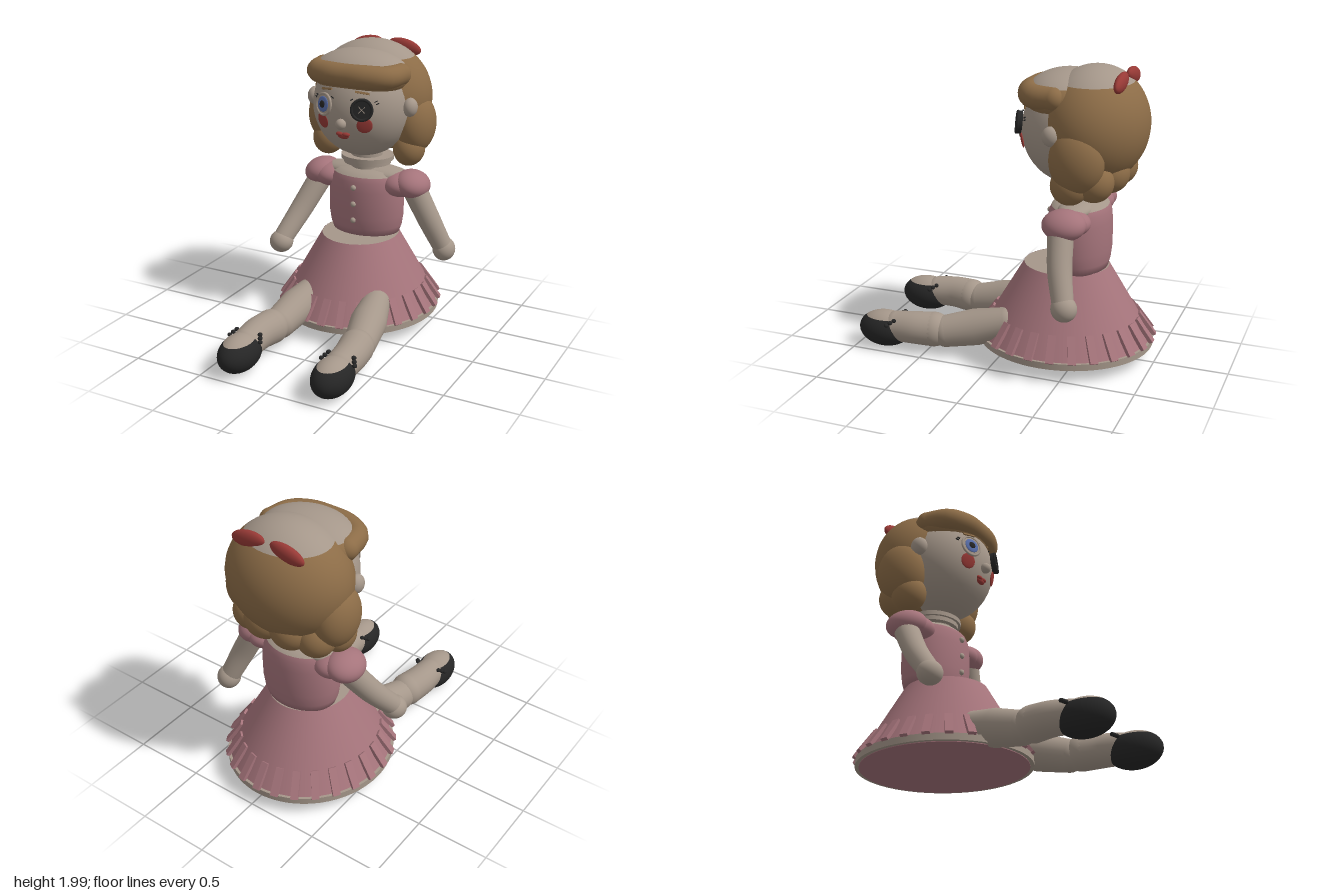
import * as THREE from 'three';

const mat = (name, color) => new THREE.MeshStandardMaterial({ name, color });

export function createModel() {
  const skin = mat('skin', 0xa5978a), pink = mat('dress pink', 0xa5747b), hair = mat('hair brown', 0x8c6c47);
  const red = mat('red', 0x983a36), black = mat('black', 0x262626), blue = mat('iris blue', 0x5a70ac);
  skin.side = pink.side = THREE.DoubleSide;

  const doll = new THREE.Group();
  doll.name = 'doll';
  const body = new THREE.Group(); // torso, skirt and head share a slightly shifted axis
  body.name = 'body';
  body.position.x = -0.025;
  doll.add(body);

  const add = (parent, name, geo, material, pos = [0, 0, 0], rot = [0, 0, 0], scale = [1, 1, 1]) => {
    const m = new THREE.Mesh(geo, material);
    m.name = name;
    m.position.set(...pos);
    m.rotation.set(...rot);
    m.scale.set(...scale);
    parent.add(m);
    return m;
  };
  const ball = new THREE.SphereGeometry(1, 36, 24);
  const ellipsoid = (parent, name, material, pos, r, rot) => add(parent, name, ball, material, pos, rot, r);

  // Ellipsoid cut level at height y: one material above, another below
  const splitEllipsoid = (parent, name, top, bottom, pos, r, y) => {
    const t = Math.acos((y - pos[1]) / r[1]);
    add(parent, name + 'Top', new THREE.SphereGeometry(1, 40, 12, 0, Math.PI * 2, 0, t), top, pos, undefined, r);
    add(parent, name + 'Base', new THREE.SphereGeometry(1, 40, 24, 0, Math.PI * 2, t, Math.PI - t), bottom, pos, undefined, r);
  };

  // Round limb whose radius changes along a smooth path, with rounded ends
  const limb = (parent, name, material, pts, radii) => {
    const curve = new THREE.CatmullRomCurve3(pts.map(p => new THREE.Vector3(...p)));
    const n = 24, sides = 24, geo = new THREE.TubeGeometry(curve, n, 1, sides);
    const p = geo.attributes.position, v = new THREE.Vector3();
    for (let i = 0; i < p.count; i++) {
      const u = Math.floor(i / (sides + 1)) / n, c = curve.getPointAt(u);
      const k = Math.min(u * (radii.length - 1), radii.length - 1.0001), j = Math.floor(k);
      const r = THREE.MathUtils.lerp(radii[j], radii[j + 1], k - j);
      v.fromBufferAttribute(p, i).sub(c).multiplyScalar(r).add(c);
      p.setXYZ(i, v.x, v.y, v.z);
    }
    add(parent, name, geo, material);
    [0, pts.length - 1].forEach(i => {
      const r = radii[i ? radii.length - 1 : 0];
      ellipsoid(parent, name + 'End', material, pts[i], [r, r, r]);
    });
  };

  // Skirt with a level waist, rimmed base and a ring of pleats
  const skirt = new THREE.Group();
  skirt.name = 'skirt';
  skirt.position.z = -0.37;
  skirt.scale.z = 1.07;
  body.add(skirt);
  add(skirt, 'skirtCone', new THREE.CylinderGeometry(0.27, 0.545, 0.5, 64, 1, true), pink, [0, 0.38, 0]);
  add(skirt, 'waistDisc', new THREE.CircleGeometry(0.27, 48), skin, [0, 0.629, 0], [-Math.PI / 2, 0, 0]);
  add(skirt, 'hemRim', new THREE.CylinderGeometry(0.56, 0.56, 0.045, 64), skin, [0, 0.112, 0]);
  add(skirt, 'skirtBase', new THREE.CylinderGeometry(0.535, 0.535, 0.006, 64), pink, [0, 0.088, 0]);
  const pleat = new THREE.BoxGeometry(0.05, 0.185, 0.025);
  for (let i = 0; i < 26; i++) {
    const holder = new THREE.Group();
    holder.name = 'pleat';
    holder.rotation.y = i / 26 * Math.PI * 2;
    add(holder, 'pleatStrip', pleat, pink, [0, 0.21, 0.515], [-0.6, 0, 0]);
    skirt.add(holder);
  }

  // Bodice, yoke and neck
  const lathe = pts => new THREE.LatheGeometry(pts.map(p => new THREE.Vector2(...p)), 48);
  const bodice = [[0, 0.62], [0.245, 0.622], [0.265, 0.68], [0.277, 0.76], [0.278, 0.86], [0.275, 0.95], [0.265, 1.02], [0.245, 1.055]];
  add(body, 'bodice', lathe(bodice), pink, [0, 0, -0.46], undefined, [1, 1, 0.76]);
  add(body, 'yoke', lathe([[0.245, 1.055], [0.2, 1.085], [0.1, 1.1], [0, 1.1]]), skin, [0, 0, -0.46], undefined, [1, 1, 0.76]);
  ellipsoid(body, 'shoulders', skin, [0, 1.055, -0.47], [0.34, 0.06, 0.13]);
  add(body, 'neck', new THREE.CylinderGeometry(0.11, 0.11, 0.22, 32), skin, [0, 1.15, -0.46]);
  add(body, 'collar', new THREE.CylinderGeometry(0.19, 0.19, 0.03, 40), skin, [0, 1.165, -0.47], undefined, [1, 1, 0.9]);
  add(body, 'collarBand', new THREE.CylinderGeometry(0.17, 0.17, 0.03, 40), skin, [0, 1.135, -0.47], undefined, [1, 1, 0.9]);
  [0.985, 0.865, 0.745].forEach(y => ellipsoid(body, 'button', skin, [0, y, -0.247], [0.02, 0.02, 0.018]));
  for (const s of [-1, 1]) {
    ellipsoid(body, 'puffSleeve', pink, [s * 0.355, 1.01, -0.46], [0.125, 0.095, 0.145], [0, 0, s * -0.25]);
    ellipsoid(body, 'sleeveTop', pink, [s * 0.27, 1.0, -0.46], [0.13, 0.09, 0.15]);
  }

  // Arms, one reaching forward and one slightly back
  limb(doll, 'rightArm', skin, [[-0.39, 0.96, -0.45], [-0.48, 0.73, -0.3], [-0.545, 0.55, -0.15]], [0.085, 0.08, 0.07]);
  ellipsoid(doll, 'rightHand', skin, [-0.55, 0.53, -0.14], [0.085, 0.08, 0.085]);
  limb(doll, 'leftArm', skin, [[0.36, 0.96, -0.45], [0.46, 0.75, -0.48], [0.54, 0.56, -0.53]], [0.085, 0.08, 0.07]);
  ellipsoid(doll, 'leftHand', skin, [0.55, 0.535, -0.54], [0.08, 0.085, 0.085]);

  // Legs stretched forward: thigh, calf, foot, shoe and strap fittings
  [['right', -0.235, -0.275, -0.31], ['left', 0.26, 0.345, 0.38]].forEach(([side, hip, knee, foot]) => {
    const leg = new THREE.Group();
    leg.name = side + 'Leg';
    doll.add(leg);
    limb(leg, 'thigh', skin, [[hip, 0.25, -0.04], [(hip + knee) / 2, 0.2, 0.16], [knee, 0.155, 0.36]], [0.1, 0.125, 0.11]);
    limb(leg, 'calf', skin, [[knee * 0.6 + foot * 0.4, 0.16, 0.45], [foot, 0.16, 0.58], [foot, 0.15, 0.72]], [0.118, 0.112, 0.105]);
    splitEllipsoid(leg, 'shoe', skin, black, [foot, 0.125, 0.81], [0.127, 0.125, 0.19], 0.213);
    for (const s of [-1, 1]) for (let i = 0; i < 3; i++)
      ellipsoid(leg, 'strapBead', black, [foot + s * (0.09 + i * 0.014), 0.225 - i * 0.014, 0.7 + i * 0.022], [0.016, 0.014, 0.016]);
  });

  // Head and ears
  const C = [0, 1.56, -0.41], R = [0.355, 0.365, 0.345];
  ellipsoid(body, 'head', skin, C, R);
  for (const s of [-1, 1]) ellipsoid(body, 'ear', skin, [s * 0.365, 1.58, -0.37], [0.05, 0.065, 0.06]);

  // Anchor on the face surface with +z pointing outward
  const onFace = (name, x, y) => {
    const g = new THREE.Group();
    g.name = name;
    const dx = x / R[0], dy = (y - C[1]) / R[1], dz = Math.sqrt(1 - dx * dx - dy * dy);
    g.position.set(x, y, C[2] + R[2] * dz);
    g.quaternion.setFromUnitVectors(new THREE.Vector3(0, 0, 1), new THREE.Vector3(dx / R[0], dy / R[1], dz / R[2]).normalize());
    body.add(g);
    return g;
  };
  const disc = (g, name, material, r, z, sy = 1) => ellipsoid(g, name, material, [0, 0, z], [r, r * sy, 0.009]);

  const eye = onFace('paintedEye', -0.14, 1.605);
  add(eye, 'eyeRim', new THREE.TorusGeometry(0.072, 0.009, 10, 36), skin, [0, 0, 0.008]);
  disc(eye, 'eyeball', skin, 0.072, 0.008);
  disc(eye, 'iris', blue, 0.053, 0.015);
  disc(eye, 'pupil', black, 0.026, 0.021);
  const patch = onFace('buttonEye', 0.14, 1.6);
  add(patch, 'buttonDisc', new THREE.CylinderGeometry(0.075, 0.075, 0.03, 36), black, [0, 0, 0.015], [Math.PI / 2, 0, 0]);
  add(patch, 'buttonRim', new THREE.TorusGeometry(0.068, 0.01, 10, 36), black, [0, 0, 0.03]);
  for (const s of [-1, 1])
    add(patch, 'thread', new THREE.BoxGeometry(0.06, 0.004, 0.006), skin, [0, 0, 0.032], [0, 0, s * 0.8]);

  for (const s of [-1, 1]) {
    disc(onFace('cheek', s * 0.155, 1.49), 'blush', red, 0.054, 0.004);
    const brow = onFace('brow', s * 0.13, 1.705);
    add(brow, 'browStrip', new THREE.BoxGeometry(0.095, 0.014, 0.009), hair, [0, 0, 0.006], [0, 0, s * -0.06]);
    [[0.07, 1.66], [0.215, 1.65], [0.225, 1.635]].forEach(([x, y]) =>
      add(onFace('eyelash', s * x, y), 'lash', new THREE.BoxGeometry(0.022, 0.006, 0.008), black, [0, 0, 0.008], [0, 0, s * 0.5]));
  }
  ellipsoid(body, 'nose', skin, [0, 1.49, -0.06], [0.037, 0.037, 0.037]);
  const mouth = onFace('mouth', 0, 1.405);
  ellipsoid(mouth, 'lowerLip', red, [0, -0.006, 0], [0.042, 0.022, 0.018]);
  for (const s of [-1, 1]) ellipsoid(mouth, 'upperLip', red, [s * 0.022, 0.01, 0], [0.03, 0.015, 0.018]);

  // Hair: bare crown, rounded back, rolled fringe and hanging locks
  splitEllipsoid(body, 'hairBack', skin, hair, [0, 1.6, -0.55], [0.425, 0.385, 0.35], 1.88);
  splitEllipsoid(body, 'crown', skin, hair, [0, 1.78, -0.36], [0.345, 0.17, 0.27], 1.86);
  limb(body, 'fringe', hair, [[-0.29, 1.8, -0.36], [-0.25, 1.8, -0.21], [-0.13, 1.805, -0.15], [0, 1.805, -0.14],
    [0.13, 1.805, -0.15], [0.25, 1.8, -0.21], [0.29, 1.8, -0.36]], [0.075, 0.08, 0.08, 0.075]);
  for (const s of [-1, 1]) {
    ellipsoid(body, 'sideLock', hair, [s * 0.335, 1.43, -0.53], [0.14, 0.21, 0.18]);
    ellipsoid(body, 'lockCurl', hair, [s * 0.315, 1.26, -0.48], [0.11, 0.125, 0.125]);
    ellipsoid(body, 'rearCurl', hair, [s * 0.25, 1.28, -0.62], [0.13, 0.13, 0.13]);
    ellipsoid(body, 'napeCurl', hair, [s * 0.1, 1.31, -0.68], [0.14, 0.13, 0.13]);
    ellipsoid(body, 'bow', red, [s * 0.145, 1.905, -0.75], [0.125, 0.055, 0.035], [0, 0, s * -0.2]);
  }
  return doll;
}
